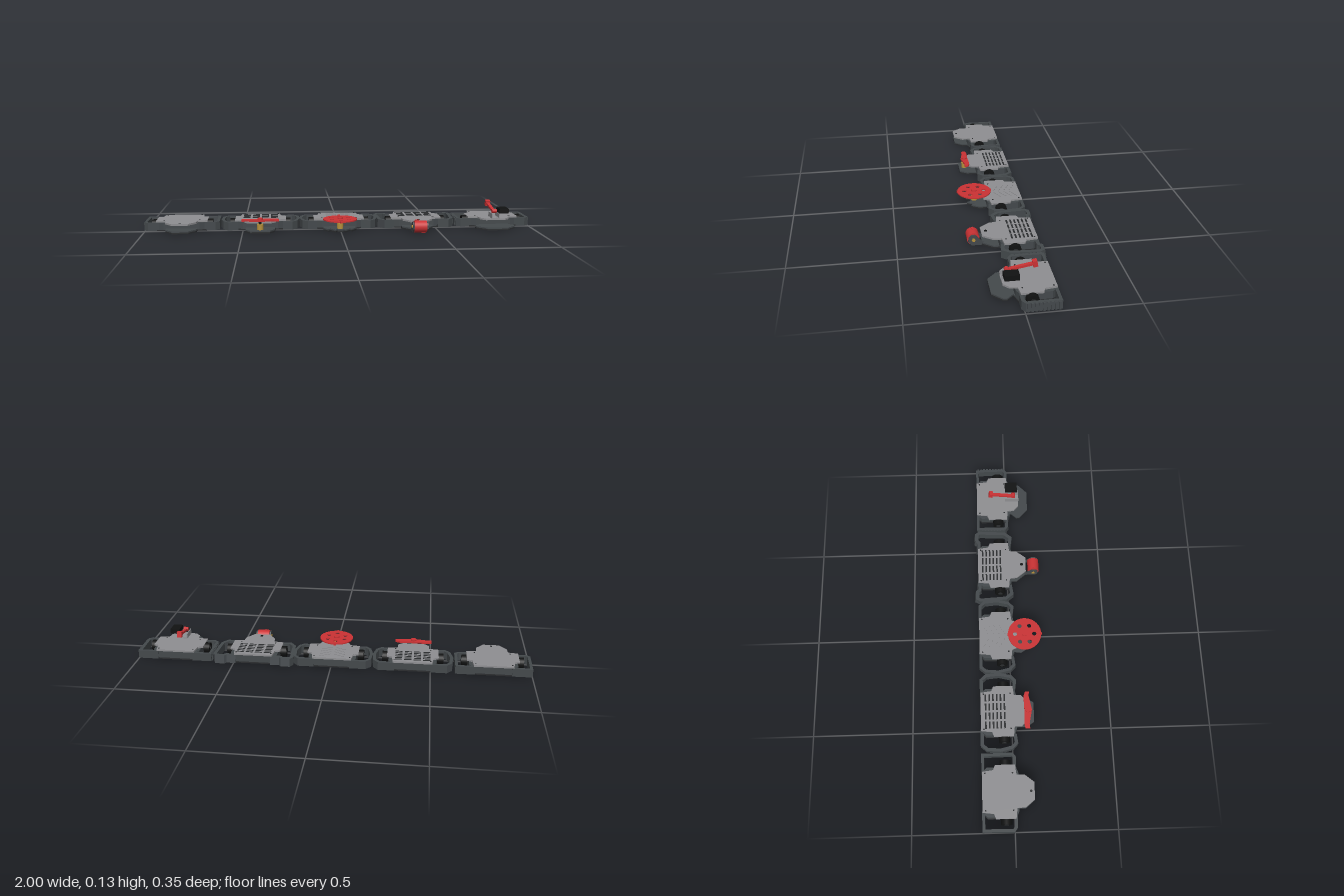
import * as THREE from 'three';

const mat = (name, color) => Object.assign(new THREE.MeshStandardMaterial({ color }), { name });
const M = {
  plate: mat('plate grey', 0x8f8f92), guard: mat('guard charcoal', 0x44494c), pan: mat('pan dark', 0x2b2d2f),
  black: mat('rubber black', 0x111212), red: mat('weapon red', 0xcb3234), gold: mat('motor gold', 0xb5903c),
};

function add(parent, name, geometry, material, x = 0, y = 0, z = 0) {
  const mesh = new THREE.Mesh(geometry, material);
  mesh.name = name;
  mesh.position.set(x, y, z);
  parent.add(mesh);
  return mesh;
}
const box = (p, n, m, w, h, d, x, y, z) => add(p, n, new THREE.BoxGeometry(w, h, d), m, x, y, z);
const cyl = (p, n, m, r, h, x, y, z, seg = 24) => add(p, n, new THREE.CylinderGeometry(r, r, h, seg), m, x, y, z);
// Cylinder lying along x
function axle(...args) {
  const mesh = cyl(...args);
  mesh.rotation.z = Math.PI / 2;
  return mesh;
}

// Plan outline of [x, z] points raised from y0 to y1
function prism(pts, y0, y1) {
  const shape = new THREE.Shape(pts.map(([x, z]) => new THREE.Vector2(x, -z)));
  return new THREE.ExtrudeGeometry(shape, { depth: y1 - y0, bevelEnabled: false }).rotateX(-Math.PI / 2).translate(0, y0, 0);
}
// Right half outline mirrored into a closed one
const mirror = half => [...half, ...half.map(([x, z]) => [-x, z]).reverse()];

// Band of constant width along a plan path, with mitred corners
function band(path, width) {
  const v = path.map(p => new THREE.Vector2(...p));
  const normal = (a, b) => { const d = b.clone().sub(a).normalize(); return new THREE.Vector2(-d.y, d.x); };
  const side = k => v.map((p, i) => {
    const n0 = normal(v[Math.max(i - 1, 0)], v[Math.max(i, 1)]);
    const n1 = normal(v[Math.min(i, v.length - 2)], v[Math.min(i + 1, v.length - 1)]);
    const n = n0.clone().add(n1).normalize();
    return p.clone().addScaledVector(n, k * width / 2 / n.dot(n0)).toArray();
  });
  return [...side(1), ...side(-1).reverse()];
}

// Chassis shared by every machine; o sets the guard path and front lobes
function chassis(name, x, o) {
  const g = new THREE.Group();
  g.name = name;
  g.position.x = x;
  // floor pan, with the lobe reaching forward
  add(g, 'floorPan', prism(mirror([[0.1, -0.155], [0.125, -0.13], [0.125, 0.015], ...o.lobe]), 0.007, 0.014), M.pan);
  add(g, 'frontLobe', prism(mirror([[0.12, 0.0], [0.12, 0.012], ...o.lobe]), 0.0145, 0.021), M.guard);
  // body walls under the lid
  add(g, 'body', prism(mirror([[0.1, -0.153], [0.12, -0.13], [0.12, 0.012], [0.09, 0.024]]), 0.014, 0.05), M.guard);
  add(g, 'lid', prism(mirror([[0.098, -0.155], [0.105, -0.1], [0.13, -0.09], [0.13, 0.008], [0.08, 0.014], ...o.lid]), 0.05, 0.059), M.plate);
  for (const s of [-1, 1]) {
    const guard = prism(band(o.guard.map(([px, pz]) => [s * px, pz]), o.width), 0.008, 0.05);
    if (o.sloped) {
      const p = guard.attributes.position;
      for (let i = 0; i < p.count; i++) if (p.getZ(i) < -0.15 && p.getY(i) < 0.02) p.setZ(i, p.getZ(i) - 0.007);
      guard.computeVertexNormals();
    }
    add(g, 'sideGuard', guard, M.guard);
    axle(g, 'wheel', M.black, 0.028, 0.03, s * 0.14, 0.03, -0.04);
    axle(g, 'wheelHub', M.pan, 0.012, 0.034, s * 0.14, 0.03, -0.04, 12);
    for (const z of [-0.14, -0.005]) cyl(g, 'lidScrew', M.pan, 0.004, 0.002, s * 0.09, 0.0595, z, 10);
  }
  return g;
}

// Four columns of slots painted on the lid
function vents(g) {
  for (let c = 0; c < 4; c++) for (let r = 0; r < 6; r++)
    box(g, 'vent', M.pan, 0.036, 0.002, 0.008, (c - 1.5) * 0.047, 0.0595, -0.13 + r * 0.019);
}

const square = [[0.09, -0.15], [0.182, -0.15], [0.184, -0.005], [0.168, 0.007], [0.115, 0.007]];
const tapered = [[0.09, -0.15], [0.168, -0.15], [0.19, -0.125], [0.196, -0.06], [0.182, 0.0], [0.16, 0.02], [0.115, 0.014]];
const broad = [[0.09, -0.148], [0.14, -0.148], [0.15, -0.16], [0.188, -0.16], [0.198, -0.145], [0.19, -0.01], [0.165, 0.022], [0.115, 0.014]];
const wideLobe = [[0.075, 0.03], [0.103, 0.06], [0.1, 0.078], [0.055, 0.122]];
const smallLobe = [[0.08, 0.02], [0.08, 0.05], [0.04, 0.1]];

function plainMachine() {
  const g = chassis('plainMachine', -0.81, { guard: square, width: 0.014, lobe: [[0.078, 0.02], [0.078, 0.056], [0.042, 0.098]], lid: [[0.078, 0.055], [0.042, 0.1]] });
  cyl(g, 'frontScrew', M.pan, 0.006, 0.002, 0, 0.0595, 0.083, 12);
  return g;
}

function barMachine() {
  const g = chassis('barMachine', -0.41, { guard: tapered, width: 0.016, lobe: [[0.075, 0.025], [0.075, 0.075], [0.05, 0.113]], lid: [[0.08, 0.05], [0.055, 0.072]] });
  vents(g);
  cyl(g, 'weaponMotor', M.gold, 0.016, 0.032, 0, 0.034, 0.083);
  cyl(g, 'weaponShaft', M.black, 0.007, 0.02, 0, 0.058, 0.083, 12);
  // spinning bar with hooked tips
  const bar = [[-0.094, 0.066], [-0.07, 0.062], [0, 0.064], [0.07, 0.062], [0.094, 0.07], [0.094, 0.09], [0.07, 0.088], [0, 0.102], [-0.07, 0.088], [-0.094, 0.09]];
  add(g, 'spinningBar', prism(bar, 0.064, 0.073), M.red);
  cyl(g, 'barHub', M.red, 0.014, 0.009, 0, 0.0755, 0.083);
  return g;
}

function discMachine() {
  const g = chassis('discMachine', -0.005, { guard: tapered, width: 0.015, lobe: [[0.08, 0.025], [0.085, 0.06], [0.06, 0.1], [0.05, 0.085], [0.025, 0.12], [0.015, 0.1]], lid: [[0.07, 0.04]] });
  // slanted ribs on the lid
  for (const s of [-1, 1]) for (let i = 0; i < 4; i++) {
    const rib = box(g, 'lidRib', M.plate, 0.06, 0.003, 0.006, s * 0.035, 0.06, -0.12 + i * 0.028);
    rib.rotation.y = s * 0.5;
  }
  cyl(g, 'weaponMotor', M.gold, 0.016, 0.032, 0, 0.034, 0.08);
  cyl(g, 'weaponShaft', M.black, 0.007, 0.02, 0, 0.058, 0.08, 12);
  const disc = new THREE.Shape().absarc(0, 0, 0.086, 0, Math.PI * 2);
  for (let i = 0; i < 6; i++) {
    const a = Math.PI / 2 + i * Math.PI / 3;
    disc.holes.push(new THREE.Path().absarc(0.05 * Math.cos(a), 0.05 * Math.sin(a), 0.011, 0, Math.PI * 2));
  }
  const geo = new THREE.ExtrudeGeometry(disc, { depth: 0.006, bevelEnabled: false, curveSegments: 40 }).rotateX(-Math.PI / 2);
  add(g, 'spinningDisc', geo, M.red, 0, 0.066, 0.08);
  cyl(g, 'discHub', M.red, 0.014, 0.012, 0, 0.072, 0.08);
  for (const s of [-1, 1]) box(g, 'discTooth', M.red, 0.012, 0.012, 0.008, 0, 0.069, 0.08 + s * 0.085);
  return g;
}

function drumMachine() {
  const g = chassis('drumMachine', 0.397, { guard: broad, width: 0.017, sloped: true, lobe: smallLobe, lid: [[0.076, 0.052], [0.04, 0.1]] });
  vents(g);
  cyl(g, 'frontScrew', M.black, 0.008, 0.002, 0, 0.0595, 0.078, 12);
  // arm plates either side of the drum
  const side = new THREE.Shape([[0.02, 0.008], [0.15, 0.008], [0.165, 0.027], [0.164, 0.046], [0.152, 0.06], [0.132, 0.061], [0.1, 0.026], [0.085, 0.02], [0.02, 0.02]]
    .map(p => new THREE.Vector2(...p)));
  for (const s of [-1, 1]) {
    const arm = new THREE.ExtrudeGeometry(side, { depth: 0.007, bevelEnabled: false }).rotateY(-Math.PI / 2);
    add(g, 'drumArm', arm, M.guard, s * 0.036 + 0.0035);
    axle(g, 'axleBolt', M.gold, 0.009, 0.006, s * 0.041, 0.037, 0.14, 6);
  }
  axle(g, 'drum', M.red, 0.03, 0.062, 0, 0.037, 0.14, 28);
  for (const s of [-1, 1]) box(g, 'drumTooth', M.red, 0.02, 0.008, 0.007, s * 0.017, 0.037 - s * 0.03, 0.14);
  return g;
}

function hammerMachine() {
  const g = chassis('hammerMachine', 0.803, { guard: square, width: 0.014, lobe: wideLobe, lid: [[0.075, 0.048], [0.05, 0.072]] });
  // corrugated outer faces
  for (const s of [-1, 1]) for (let i = 0; i < 9; i++) box(g, 'guardRib', M.guard, 0.006, 0.04, 0.01, s * 0.193, 0.029, -0.145 + i * 0.0165);
  // bracket, servo and hammer
  box(g, 'bracketBase', M.plate, 0.042, 0.004, 0.075, 0, 0.061, 0.037);
  for (const x of [-0.018, 0.018]) box(g, 'bracketCheek', M.plate, 0.005, 0.024, 0.072, x, 0.072, 0.037);
  box(g, 'servo', M.black, 0.048, 0.025, 0.066, 0.045, 0.095, 0.034);
  axle(g, 'hammerPivot', M.red, 0.011, 0.024, -0.003, 0.094, 0.046, 16);
  const hammer = new THREE.Group();
  hammer.name = 'hammer';
  hammer.position.set(-0.006, 0.093, 0.046);
  hammer.rotation.x = 0.175;
  g.add(hammer);
  box(hammer, 'hammerShaft', M.red, 0.016, 0.011, 0.125, 0, 0, -0.06);
  box(hammer, 'hammerHead', M.red, 0.024, 0.029, 0.021, 0, 0, -0.125);
  return g;
}

export function createModel() {
  const model = new THREE.Group();
  model.name = 'combatMachines';
  model.add(plainMachine(), barMachine(), discMachine(), drumMachine(), hammerMachine());
  return model;
}
